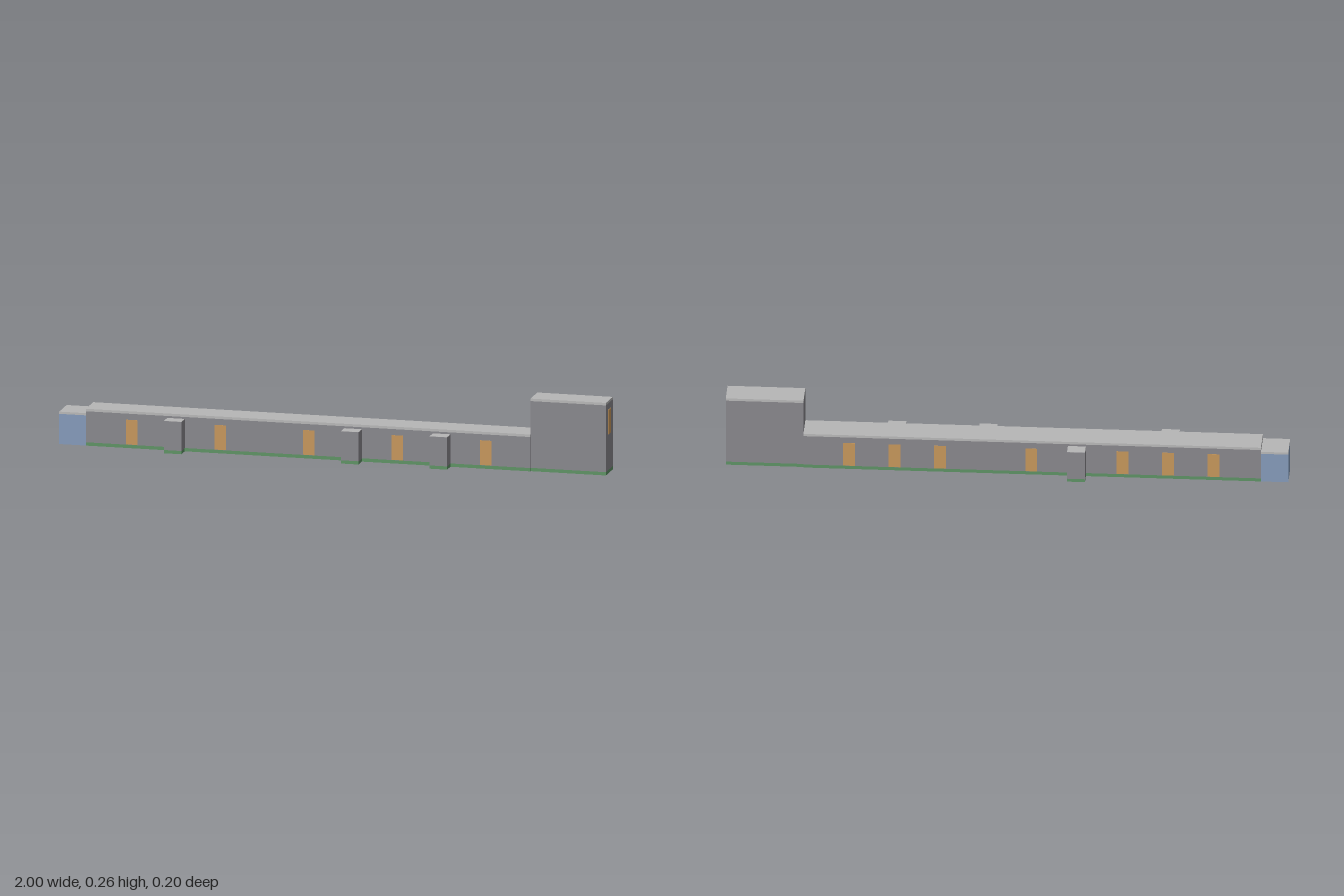
import * as THREE from 'three';

const mat = (name, color) => {
  const m = new THREE.MeshStandardMaterial({ color });
  m.name = name;
  return m;
};

export function createModel() {
  const wall = mat('wall grey', 0x87868b);
  const roof = mat('roof light grey', 0xb6b6b6);
  const amber = mat('door amber', 0xc4955a);
  const glass = mat('glass blue', 0x8399b8);
  const green = mat('base green', 0x5c9163);

  const model = new THREE.Group();
  model.name = 'longBuilding';

  // Box given by its limits on each axis
  const box = (name, material, [x0, x1], [y0, y1], [z0, z1], parent = model) => {
    const mesh = new THREE.Mesh(new THREE.BoxGeometry(x1 - x0, y1 - y0, z1 - z0), material);
    mesh.position.set((x0 + x1) / 2, (y0 + y1) / 2, (z0 + z1) / 2);
    mesh.name = name;
    parent.add(mesh);
    return mesh;
  };

  const BASE = 0.012, SLAB = 0.009;

  // Block made of green base, walls and light roof slab
  const block = (name, xs, top, zs) => {
    const group = new THREE.Group();
    group.name = name;
    box(name + 'Base', green, xs, [0, BASE], zs, group);
    box(name + 'Walls', wall, xs, [BASE, top - SLAB], zs, group);
    box(name + 'Roof', roof, xs, [top - SLAB, top], zs, group);
    model.add(group);
    return group;
  };

  // Long hall and tall end block
  block('hall', [-0.903, 0.722], 0.134, [-0.053, 0.053]);
  block('tower', [0.722, 0.998], 0.264, [-0.049, 0.049]);
  box('towerWindow', amber, [0.995, 1], [0.143, 0.232], [-0.019, 0.019]);

  // Glazed end room
  box('glassRoom', glass, [-1, -0.903], [0, 0.11], [-0.053, 0.053]);
  box('glassRoomRoof', roof, [-1, -0.903], [0.11, 0.118], [-0.053, 0.053]);

  // Evenly spaced bays hold doors or small porches
  const bayX = (i) => -0.735 + i * 0.1619;

  const addDoor = (i, side) => {
    const x = bayX(i), z = side * 0.053;
    box('door', amber, [x - 0.021, x + 0.021], [0.013, 0.103], [z - 0.001, z + 0.001]);
  };

  const addPorch = (i, side) => {
    const x = bayX(i), xs = [x - 0.032, x + 0.032];
    const zs = side > 0 ? [0.053, 0.1] : [-0.1, -0.053];
    const porch = block('porch', xs, 0.118, zs);
    // Wall upstand hiding the roof edge on the outer face
    const face = side > 0 ? [0.099, 0.101] : [-0.101, -0.092];
    box('porchUpstand', wall, [xs[0] - 0.0005, xs[1] + 0.0005], [BASE, 0.1175], face, porch);
    if (side > 0) {
      box('porchSideUpstand', wall, [xs[1] - 0.001, xs[1] + 0.0005], [BASE, 0.1175], [0.053, 0.1], porch);
    }
  };

  [0, 2, 4, 6, 8].forEach((i) => addDoor(i, 1));
  [0, 1, 2, 4, 6, 7, 8].forEach((i) => addDoor(i, -1));
  [1, 5, 7].forEach((i) => addPorch(i, 1));
  addPorch(3, -1);

  return model;
}
